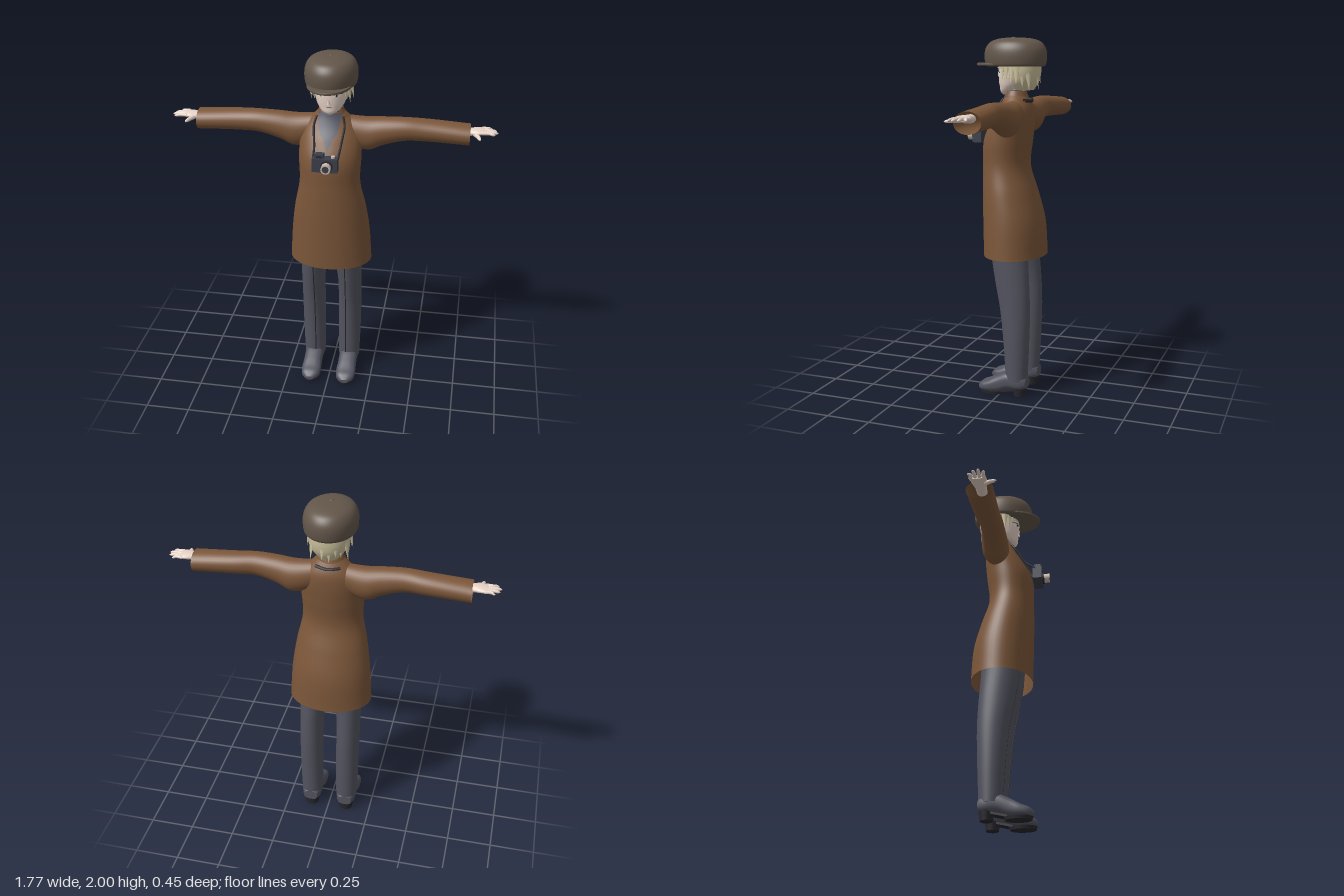
import * as THREE from 'three';

const paint = (name, color) => new THREE.MeshStandardMaterial({ name, color, side: THREE.DoubleSide });
const M = {
  coat: paint('brown wool', 0x7b5639), trousers: paint('slate cloth', 0x53545f),
  dark: paint('near black', 0x28282e), hat: paint('hat felt', 0x63564a),
  hair: paint('blond', 0xcdc29e), skin: paint('skin', 0xead6ca),
  sweater: paint('grey knit', 0x50525f), camera: paint('camera body', 0x3b3e4b),
  lens: paint('pale metal', 0xcbbcae), white: paint('eye white', 0xf0ece6),
};

// Smooth table lookup: rows of [t, cu, cv, ru, rv]
function sections(rows) {
  const f = new THREE.CubicInterpolant(rows.map(r => r[0]), rows.flatMap(r => r.slice(1)), 4);
  return { rows, at: t => [...f.evaluate(t)] };
}

// Lofts rounded cross-sections along an axis (0 x, 1 y, 2 z); power above 2 squares them off
function loft(sec, axis, { steps = 28, sides = 32, power = 2, caps = true } = {}) {
  const pos = [], idx = [], first = sec.rows[0][0], last = sec.rows.at(-1)[0];
  const v = (axis + 1) % 3, u = (axis + 2) % 3;
  const bend = s => Math.sign(s) * Math.abs(s) ** (2 / power);
  const add = (t, a, k) => {
    const [cu, cv, ru, rv] = sec.at(t), p = [0, 0, 0];
    p[axis] = t;
    p[u] = cu + k * ru * bend(Math.cos(a));
    p[v] = cv + k * rv * bend(Math.sin(a));
    pos.push(...p);
  };
  for (let i = 0; i <= steps; i++) {
    for (let j = 0; j < sides; j++) add(first + (last - first) * i / steps, j / sides * Math.PI * 2, 1);
  }
  for (let i = 0; i < steps; i++) for (let j = 0; j < sides; j++) {
    const a = i * sides + j, b = i * sides + (j + 1) % sides;
    idx.push(a, a + sides, b + sides, a, b + sides, b);
  }
  if (caps) for (const t of [first, last]) {
    const c = pos.length / 3;
    add(t, 0, 0);
    for (let j = 0; j < sides; j++) add(t, j / sides * Math.PI * 2, 1);
    for (let j = 0; j < sides; j++) {
      const a = c + 1 + j, b = c + 1 + (j + 1) % sides;
      idx.push(c, ...(t === first ? [a, b] : [b, a]));
    }
  }
  const g = new THREE.BufferGeometry();
  g.setAttribute('position', new THREE.Float32BufferAttribute(pos, 3));
  g.setIndex(idx);
  g.computeVertexNormals();
  return g;
}

// Front surface depth of an upright loft
function frontZ(sec, x, y) {
  const [cx, cz, rx, rz] = sec.at(y);
  return cz + rz * Math.sqrt(Math.max(0, 1 - ((x - cx) / rx) ** 2));
}

// Thin sheet lying on the front of an upright loft, between xa(y) and xb(y)
function patch(sec, y0, y1, xa, xb, off) {
  const g = new THREE.PlaneGeometry(1, 1, 10, 16), p = g.attributes.position;
  for (let i = 0; i < p.count; i++) {
    const y = y0 + (y1 - y0) * (p.getY(i) + 0.5);
    const x = xa(y) + (xb(y) - xa(y)) * (p.getX(i) + 0.5);
    p.setXYZ(i, x, y, frontZ(sec, x, y) + off);
  }
  g.computeVertexNormals();
  return g;
}
const oval = (sec, cx, cy, w, h, off) => {
  const r = y => w * Math.sqrt(Math.max(0, 1 - ((y - cy) / h) ** 2));
  return patch(sec, cy - h, cy + h, y => cx - r(y), y => cx + r(y), off);
};
const tube = (pts, r, n = 24) =>
  new THREE.TubeGeometry(new THREE.CatmullRomCurve3(pts.map(p => new THREE.Vector3(...p))), n, r, 6);

const COAT = sections([
  [0.80, 0, -0.052, 0.232, 0.172], [1.0, 0, -0.042, 0.218, 0.168], [1.15, 0, -0.02, 0.197, 0.15],
  [1.3, 0, 0.002, 0.167, 0.128], [1.45, 0, -0.008, 0.17, 0.131], [1.55, 0, -0.037, 0.165, 0.111],
  [1.62, 0, -0.056, 0.14, 0.088], [1.67, 0, -0.056, 0.09, 0.066], [1.695, 0, -0.052, 0.066, 0.056]]);
const SLEEVE = sections([
  [0.06, -0.065, 1.59, 0.06, 0.072], [0.2, -0.066, 1.563, 0.076, 0.092], [0.28, -0.062, 1.583, 0.07, 0.078],
  [0.4, -0.06, 1.602, 0.064, 0.063], [0.5, -0.068, 1.6, 0.067, 0.06], [0.74, -0.072, 1.588, 0.073, 0.056]]);
const LEG = sections([
  [0.09, 0.105, -0.095, 0.062, 0.062], [0.3, 0.107, -0.093, 0.066, 0.073], [0.5, 0.108, -0.085, 0.067, 0.086],
  [0.65, 0.107, -0.068, 0.068, 0.097], [0.8, 0.098, -0.05, 0.077, 0.105], [0.95, 0.09, -0.04, 0.085, 0.11]]);
const FOOT = sections([
  [-0.157, 0.078, 0.105, 0.03, 0.04], [-0.13, 0.084, 0.105, 0.048, 0.053], [-0.05, 0.085, 0.105, 0.052, 0.054],
  [0.01, 0.062, 0.105, 0.05, 0.055], [0.07, 0.045, 0.105, 0.035, 0.057], [0.112, 0.037, 0.105, 0.024, 0.044],
  [0.13, 0.03, 0.105, 0.012, 0.02]]);
const FACE = sections([
  [1.688, 0, 0.008, 0.014, 0.016], [1.70, 0, 0, 0.038, 0.035], [1.73, 0, -0.025, 0.067, 0.065],
  [1.77, 0, -0.043, 0.084, 0.088], [1.81, 0, -0.053, 0.093, 0.1], [1.87, 0, -0.058, 0.098, 0.105]]);
const HAIR = sections([
  [1.715, 0, -0.095, 0.055, 0.055], [1.76, 0, -0.095, 0.09, 0.082], [1.8, 0, -0.095, 0.104, 0.092],
  [1.87, 0, -0.09, 0.11, 0.1]]);

export function createModel() {
  const model = new THREE.Group();
  const add = (name, geo, mat, parent = model) => {
    const m = new THREE.Mesh(geo, mat);
    m.name = name;
    parent.add(m);
    return m;
  };

  // Coat with open neck, lapels and collar
  add('coatBody', loft(COAT, 1, { steps: 44, sides: 48, caps: false }), M.coat);
  const opening = y => 0.012 + 0.05 * THREE.MathUtils.smoothstep(y, 1.47, 1.66);
  add('sweaterFront', patch(COAT, 1.47, 1.69, y => -opening(y), opening, 0.005), M.sweater);
  for (const s of [1, -1]) {
    const inner = y => s * (opening(y) - (y < 1.585 ? 0.014 : 0.002));
    const outer = y => s * (opening(y) + (y > 1.6 ? 0.024 : 0.03 * (y - 1.46) / 0.14));
    add('lapel', patch(COAT, 1.47, 1.675, inner, outer, 0.011), M.coat);
  }
  const collar = add('collar', new THREE.CylinderGeometry(0.064, 0.085, 0.05, 32, 1, true, 0.75, Math.PI * 2 - 1.5), M.coat);
  collar.position.set(0, 1.685, -0.052);
  collar.scale.z = 0.85;

  // Turtleneck and neck
  add('turtleneck', loft(sections([[1.6, 0, -0.05, 0.075, 0.06], [1.66, 0, -0.05, 0.058, 0.053],
    [1.715, 0, -0.047, 0.05, 0.048]]), 1, { steps: 10 }), M.sweater);
  const neck = add('neck', new THREE.CylinderGeometry(0.042, 0.042, 0.1, 20), M.skin);
  neck.position.set(0, 1.73, -0.055);

  // Arms and legs, mirrored
  for (const s of [1, -1]) {
    const side = new THREE.Group();
    side.name = s > 0 ? 'leftLimbs' : 'rightLimbs';
    side.scale.x = s;
    model.add(side);
    add('sleeve', loft(SLEEVE, 0, { steps: 32, caps: false }), M.coat, side);
    add('palm', loft(sections([[0.68, -0.066, 1.605, 0.028, 0.022], [0.74, -0.066, 1.607, 0.032, 0.02],
      [0.78, -0.068, 1.611, 0.044, 0.017], [0.815, -0.072, 1.612, 0.042, 0.012]]), 0, { steps: 10, sides: 18 }), M.skin, side);
    [[-0.107, 0.855], [-0.083, 0.878], [-0.06, 0.885], [-0.038, 0.87]].forEach(([z, tip], i) => {
      const z1 = z + (i - 1.5) * 0.004;
      add('finger', loft(sections([[0.8, z, 1.612, 0.011, 0.01], [0.84, z, 1.612, 0.0095, 0.009],
        [tip - 0.008, z1, 1.609, 0.007, 0.007], [tip, z1, 1.608, 0.002, 0.002]]), 0, { steps: 10, sides: 10 }), M.skin, side);
    });
    add('thumb', loft(sections([[-0.05, 1.604, 0.76, 0.013, 0.017], [-0.01, 1.6, 0.782, 0.01, 0.012],
      [0.015, 1.598, 0.79, 0.007, 0.008], [0.024, 1.597, 0.793, 0.002, 0.002]]), 2, { steps: 10, sides: 10 }), M.skin, side);

    add('trouserLeg', loft(LEG, 1), M.trousers, side);
    const crease = [0.12, 0.3, 0.5, 0.65, 0.82].map(y => [0.092, y, frontZ(LEG, 0.092, y)]);
    add('crease', tube(crease, 0.003), M.dark, side);
    add('boot', loft(FOOT, 2, { power: 2.6 }), M.trousers, side);
    const sole = add('sole', new THREE.CylinderGeometry(0.054, 0.05, 0.018, 28), M.dark, side);
    sole.position.set(0.105, 0.009, 0.05);
    sole.scale.z = 1.42;
    const arch = add('arch', new THREE.BoxGeometry(0.07, 0.012, 0.12), M.dark, side);
    arch.position.set(0.105, 0.027, -0.045);
    arch.rotation.x = 0.22;
    const heel = add('heel', new THREE.CylinderGeometry(0.047, 0.039, 0.05, 20), M.dark, side);
    heel.position.set(0.105, 0.025, -0.115);
    heel.scale.z = 0.88;

    // Eye, lash and brow
    add('eyeWhite', oval(FACE, 0.043, 1.802, 0.022, 0.014, 0.002), M.white, side);
    add('iris', oval(FACE, 0.042, 1.802, 0.009, 0.013, 0.004), M.hair, side);
    add('pupil', oval(FACE, 0.042, 1.802, 0.0035, 0.006, 0.006), M.dark, side);
    const line = (pts, r) => tube(pts.map(([x, y]) => [x, y, frontZ(FACE, x, y) + 0.003]), r, 10);
    add('lash', line([[0.02, 1.81], [0.04, 1.818], [0.068, 1.808]], 0.0022), M.dark, side);
    add('brow', line([[0.02, 1.831], [0.045, 1.836], [0.068, 1.829]], 0.002), M.hair, side);
  }

  // Head
  add('face', loft(FACE, 1), M.skin);
  const nose = add('nose', new THREE.ConeGeometry(0.011, 0.035, 12), M.skin);
  nose.position.set(0, 1.768, 0.045);
  nose.rotation.x = 0.3;
  add('mouth', oval(FACE, 0, 1.735, 0.015, 0.002, 0.003), M.dark);
  add('hairShell', loft(HAIR, 1, { steps: 14 }), M.hair);

  // Hair locks hanging from under the hat: angle 0 is the front
  const lock = (angle, length, width, lean) => {
    const pivot = new THREE.Group();
    pivot.name = 'hairLock';
    const x = Math.sin(angle), z = Math.cos(angle);
    pivot.position.set(x * 0.102, 1.868, -0.07 + z * (z > 0 ? 0.112 : 0.1));
    pivot.rotation.set(-lean, angle, 0, 'YXZ');
    const cone = add('lockStrand', new THREE.ConeGeometry(width, length, 8).rotateX(Math.PI), M.hair, pivot);
    cone.position.y = -length / 2;
    cone.scale.z = 0.45;
    model.add(pivot);
  };
  for (let i = -3; i <= 3; i++) lock(i * 0.22, 0.045 + 0.012 * (Math.abs(i * 3) % 4), 0.016, 0.05);
  for (const s of [1, -1]) {
    lock(s * 0.95, 0.10, 0.02, 0.04);
    lock(s * 1.2, 0.125, 0.024, 0.08);
    lock(s * 1.5, 0.115, 0.028, 0.15);
  }
  for (let i = 0; i < 10; i++) lock(1.75 + i * 0.31, 0.12 + 0.035 * (i * 7 % 3) / 2, 0.032, i % 2 ? 0.02 : 0.12);

  // Flat cap with visor and button
  const crown = new THREE.SplineCurve([[0.128, 1.842], [0.137, 1.855], [0.141, 1.9], [0.135, 1.94], [0.115, 1.972],
    [0.08, 1.989], [0.04, 1.995], [0.0001, 1.996]].map(p => new THREE.Vector2(...p))).getPoints(32);
  const cap = add('hatCrown', new THREE.LatheGeometry(crown, 48), M.hat);
  cap.scale.z = 1.235;
  cap.position.z = -0.047;
  const under = add('hatUnderside', new THREE.CircleGeometry(0.128, 40).rotateX(Math.PI / 2), M.hat);
  under.position.set(0, 1.852, -0.047);
  under.scale.z = 1.235;
  const button = add('hatButton', new THREE.SphereGeometry(0.012, 14, 8), M.hat);
  button.position.set(0, 1.995, -0.035);
  button.scale.y = 0.42;
  const brim = new THREE.Shape().absellipse(0, 0, 0.118, 0.17, 0, Math.PI, false);
  const visor = add('hatVisor', new THREE.ExtrudeGeometry(brim,
    { depth: 0.008, bevelSize: 0.003, bevelThickness: 0.003, bevelSegments: 2, curveSegments: 24 }), M.hat);
  visor.rotation.x = Math.PI / 2;
  visor.position.y = 1.857;

  // Camera on its neck strap
  const box = (name, w, h, d, x, y, z, mat) => add(name, new THREE.BoxGeometry(w, h, d), mat).position.set(x, y, z);
  box('cameraBody', 0.136, 0.075, 0.052, 0, 1.463, 0.158, M.camera);
  box('viewfinder', 0.045, 0.022, 0.04, -0.03, 1.511, 0.158, M.camera);
  box('flashWindow', 0.03, 0.01, 0.004, -0.03, 1.511, 0.179, M.dark);
  const disc = (name, r, d, z, mat) =>
    add(name, new THREE.CylinderGeometry(r, r, d, 28).rotateX(Math.PI / 2), mat).position.set(0.012, 1.461, z);
  disc('lensMount', 0.032, 0.012, 0.188, M.dark);
  disc('lensBarrel', 0.026, 0.035, 0.207, M.lens);
  disc('lensGlass', 0.018, 0.004, 0.2245, M.camera);
  const dial = add('shutterDial', new THREE.CylinderGeometry(0.01, 0.01, 0.012, 16), M.lens);
  dial.position.set(0.042, 1.506, 0.158);
  for (const s of [1, -1]) {
    const pts = [[0.07, 1.672], [0.082, 1.63], [0.077, 1.58], [0.07, 1.53]]
      .map(([x, y]) => [s * x, y, frontZ(COAT, x, y) + 0.015]);
    add('strap', tube([...pts, [s * 0.066, 1.49, 0.148]], 0.006), M.dark);
  }
  const nape = [-0.065, -0.03, 0, 0.03, 0.065].map(x => {
    const [, cz, rx, rz] = COAT.at(1.655);
    return [x, 1.655 + Math.abs(x) * 0.1, cz - rz * Math.sqrt(1 - (x / rx) ** 2) - 0.006];
  });
  add('strapBack', tube(nape, 0.009), M.dark);
  return model;
}
